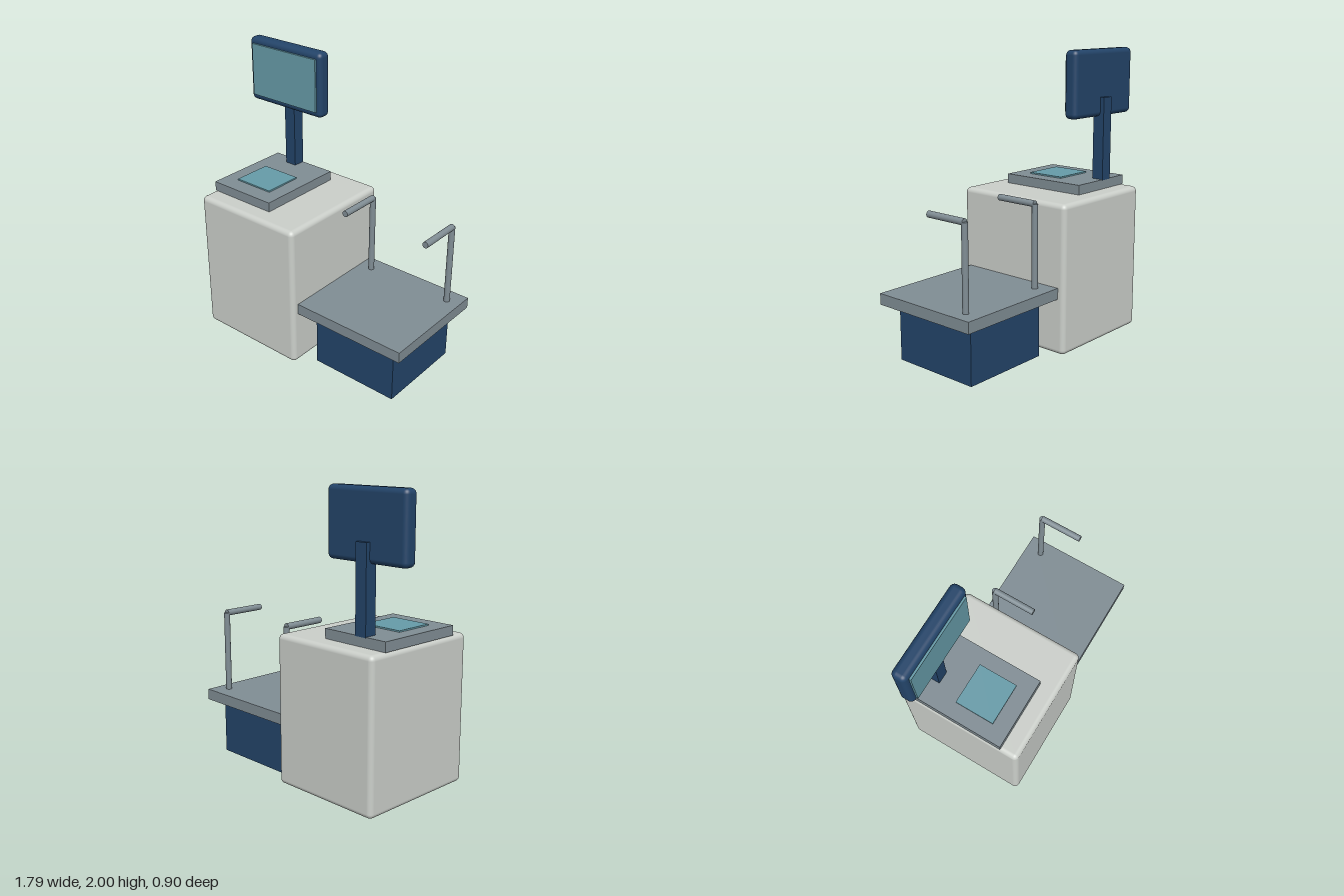
import * as THREE from 'three';
import { RoundedBoxGeometry } from 'three/addons/geometries/RoundedBoxGeometry.js';

function mat(name, color) {
  const m = new THREE.MeshStandardMaterial({ color });
  m.name = name;
  return m;
}

export function createModel() {
  const model = new THREE.Group();
  model.name = 'checkoutKiosk';

  const shell = mat('pale grey', 0xcbcfca);
  const navy = mat('navy blue', 0x234469);
  const metal = mat('slate grey', 0x808d94);
  const glass = mat('teal glass', 0x669ba8);

  const add = (name, geometry, material, x, y, z) => {
    const mesh = new THREE.Mesh(geometry, material);
    mesh.name = name;
    mesh.position.set(x, y, z);
    model.add(mesh);
    return mesh;
  };
  // Box given by its min and max on each axis; r rounds the edges
  const box = (name, material, [x0, x1], [y0, y1], [z0, z1], r = 0) => {
    const size = [x1 - x0, y1 - y0, z1 - z0];
    const geometry = r ? new RoundedBoxGeometry(...size, 4, r) : new THREE.BoxGeometry(...size);
    return add(name, geometry, material, (x0 + x1) / 2, (y0 + y1) / 2, (z0 + z1) / 2);
  };

  // Cabinet with the scanner on top
  box('cabinet', shell, [-0.784, 0.054], [0, 1.033], [-0.45, 0.45], 0.034);
  box('scannerBed', metal, [-0.775, -0.262], [1.033, 1.1], [-0.322, 0.322]);
  box('scannerGlass', glass, [-0.668, -0.37], [1.1, 1.11], [-0.077, 0.204]);

  // Display on its post
  box('displayPost', navy, [-0.614, -0.526], [1.095, 1.673], [-0.324, -0.238]);
  box('displayHousing', navy, [-0.897, -0.245], [1.54, 2], [-0.295, -0.194], 0.034);
  box('displayScreen', glass, [-0.858, -0.281], [1.586, 1.959], [-0.196, -0.18]);

  // Bagging platform
  box('platformBase', navy, [0.152, 0.796], [0, 0.39], [-0.322, 0.322]);
  box('platform', metal, [0.054, 0.893], [0.39, 0.467], [-0.4, 0.4]);

  // Bag holders: an upright and a forward arm on each side
  const r = 0.021, armY = 1.037, backZ = -0.283;
  for (const x of [0.152, 0.796]) {
    add('bagUpright', new THREE.CylinderGeometry(r, r, armY - 0.467, 20), metal, x, (armY + 0.467) / 2, backZ);
    const arm = add('bagArm', new THREE.CylinderGeometry(r + 0.001, r + 0.001, 0.308, 20), metal, x, armY, backZ + 0.154);
    arm.rotation.x = Math.PI / 2;
  }
  return model;
}
